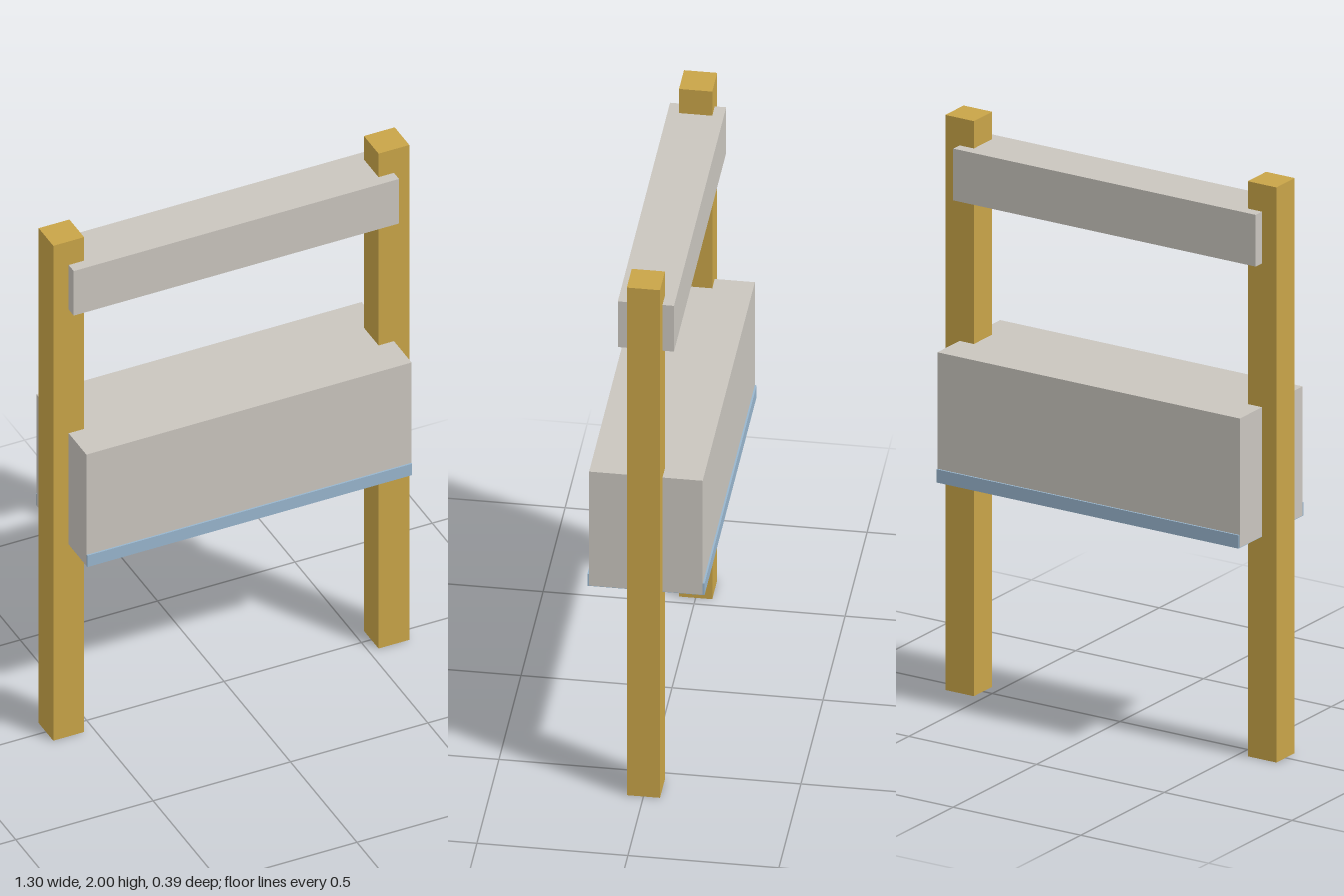
import * as THREE from 'three';

export function createModel() {
  const group = new THREE.Group();
  const material = (name, color) => {
    const m = new THREE.MeshStandardMaterial({ color });
    m.name = name;
    return m;
  };
  const wood = material('wood', 0xc8a448);
  const panel = material('warm grey panel', 0xc9c5be);
  const blue = material('blue trim', 0x98b5cd);

  // Box given by its centre x, vertical extent, width and depth
  const box = (name, mat, x, y0, y1, width, depth) => {
    const mesh = new THREE.Mesh(new THREE.BoxGeometry(width, y1 - y0, depth), mat);
    mesh.position.set(x, (y0 + y1) / 2, 0);
    mesh.name = name;
    group.add(mesh);
  };

  // Upright posts
  box('leftPost', wood, 0.592, 0, 2, 0.112, 0.11);
  box('rightPost', wood, -0.592, 0, 2, 0.112, 0.11);

  // Upper rail
  box('topRail', panel, 0, 1.725, 1.905, 1.184, 0.186);

  // Main panel with a trim band wrapping its front, back and underside
  box('mainPanel', panel, 0, 0.776, 1.225, 1.184, 0.376);
  box('trimBand', blue, 0, 0.774, 0.82, 1.182, 0.388);

  return group;
}
